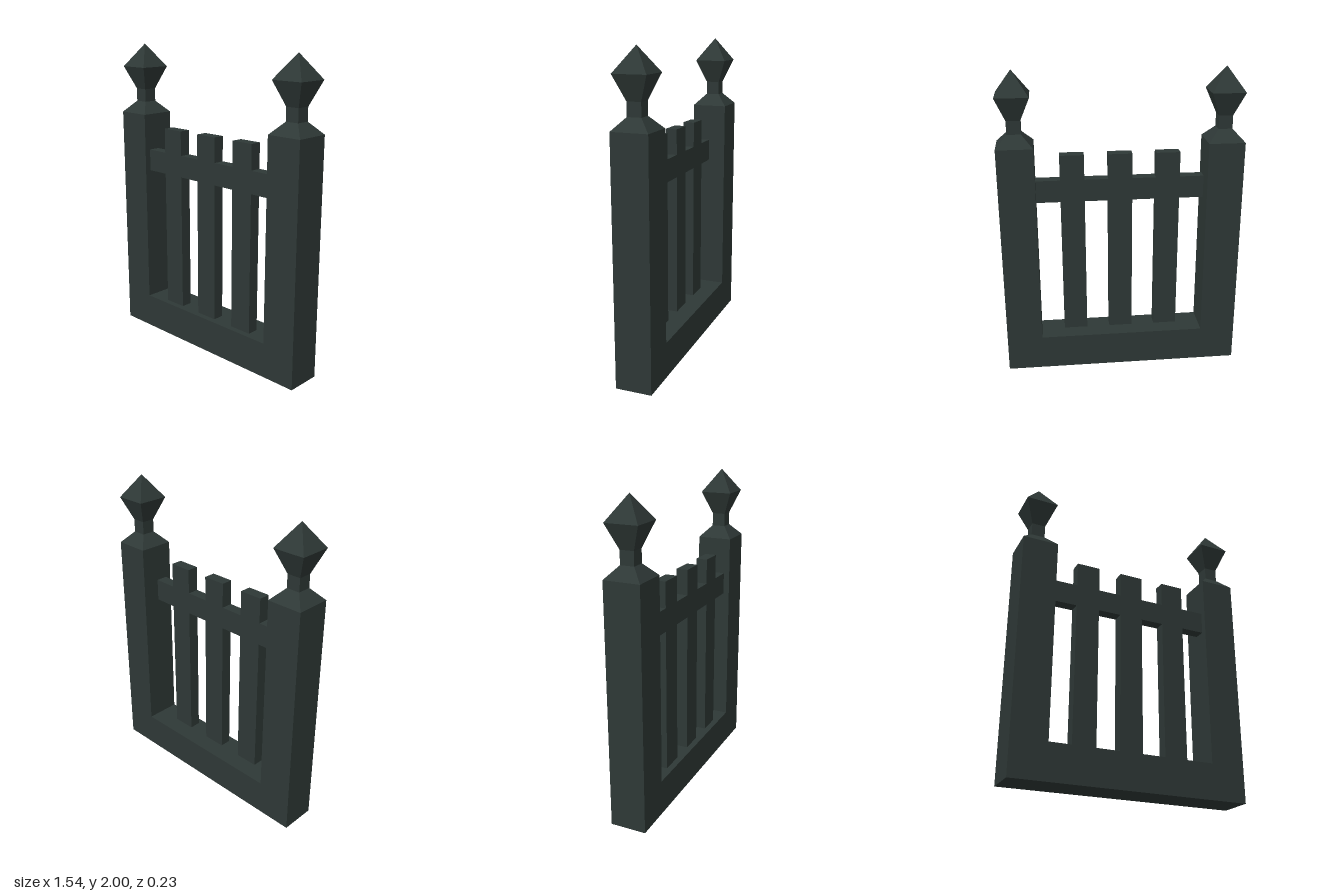
import * as THREE from 'three';

const iron = new THREE.MeshStandardMaterial({ color: 0x2e3836 });
iron.name = 'dark iron';

const POST_X = 0.655, HALF = 0.115, POST_TOP = 1.54, BASE_TOP = 0.23;
const OUTER = POST_X + HALF, INNER = POST_X - HALF;

function add(parent, name, geometry, x = 0, y = 0, z = 0) {
  const mesh = new THREE.Mesh(geometry, iron);
  mesh.name = name;
  mesh.position.set(x, y, z);
  parent.add(mesh);
  return mesh;
}

// Square frustum with flat sides; half widths at bottom and top
function frustum(lower, upper, height) {
  const g = new THREE.CylinderGeometry(upper * Math.SQRT2, lower * Math.SQRT2, height, 4, 1, true)
    .rotateY(Math.PI / 4).toNonIndexed();
  g.computeVertexNormals();
  return g;
}

function createFinial(name, x) {
  const finial = new THREE.Group();
  finial.name = name;
  finial.position.x = x;
  // [part above this level, half width, height]
  const levels = [
    ['cap', HALF, POST_TOP], ['neck', 0.044, 1.615], ['flare', 0.044, 1.7],
    ['point', 0.104, 1.85], ['tip', 0, 2],
  ];
  for (let i = 0; i < levels.length - 1; i++) {
    const [part, lower, y0] = levels[i];
    const [, upper, y1] = levels[i + 1];
    add(finial, part, frustum(lower, upper, y1 - y0), 0, (y0 + y1) / 2);
  }
  return finial;
}

export function createModel() {
  const model = new THREE.Group();
  model.name = 'fencePanel';

  // Posts and base in one U-shaped frame
  const outline = new THREE.Shape([
    [-OUTER, 0], [OUTER, 0], [OUTER, POST_TOP], [INNER, POST_TOP],
    [INNER, BASE_TOP], [-INNER, BASE_TOP], [-INNER, POST_TOP], [-OUTER, POST_TOP],
  ].map(([x, y]) => new THREE.Vector2(x, y)));
  add(model, 'postsAndBase',
    new THREE.ExtrudeGeometry(outline, { depth: 2 * HALF, bevelEnabled: false }), 0, 0, -HALF);

  model.add(createFinial('leftFinial', POST_X), createFinial('rightFinial', -POST_X));

  // Slats, set in the front half of the frame
  const depth = 0.075, z = depth / 2, slatTop = 1.46, slatHalf = 0.077;
  const slatXs = [-0.307, 0, 0.307];
  for (const x of slatXs) {
    add(model, 'slat', new THREE.BoxGeometry(2 * slatHalf, slatTop - BASE_TOP, depth),
      x, (slatTop + BASE_TOP) / 2, z);
  }

  // Rail pieces between the slats, flush with them
  const ends = [-INNER, ...slatXs.flatMap((x) => [x - slatHalf, x + slatHalf]), INNER];
  for (let i = 0; i < ends.length; i += 2) {
    add(model, 'rail', new THREE.BoxGeometry(ends[i + 1] - ends[i], 0.145, depth),
      (ends[i] + ends[i + 1]) / 2, 1.225, z);
  }
  return model;
}
